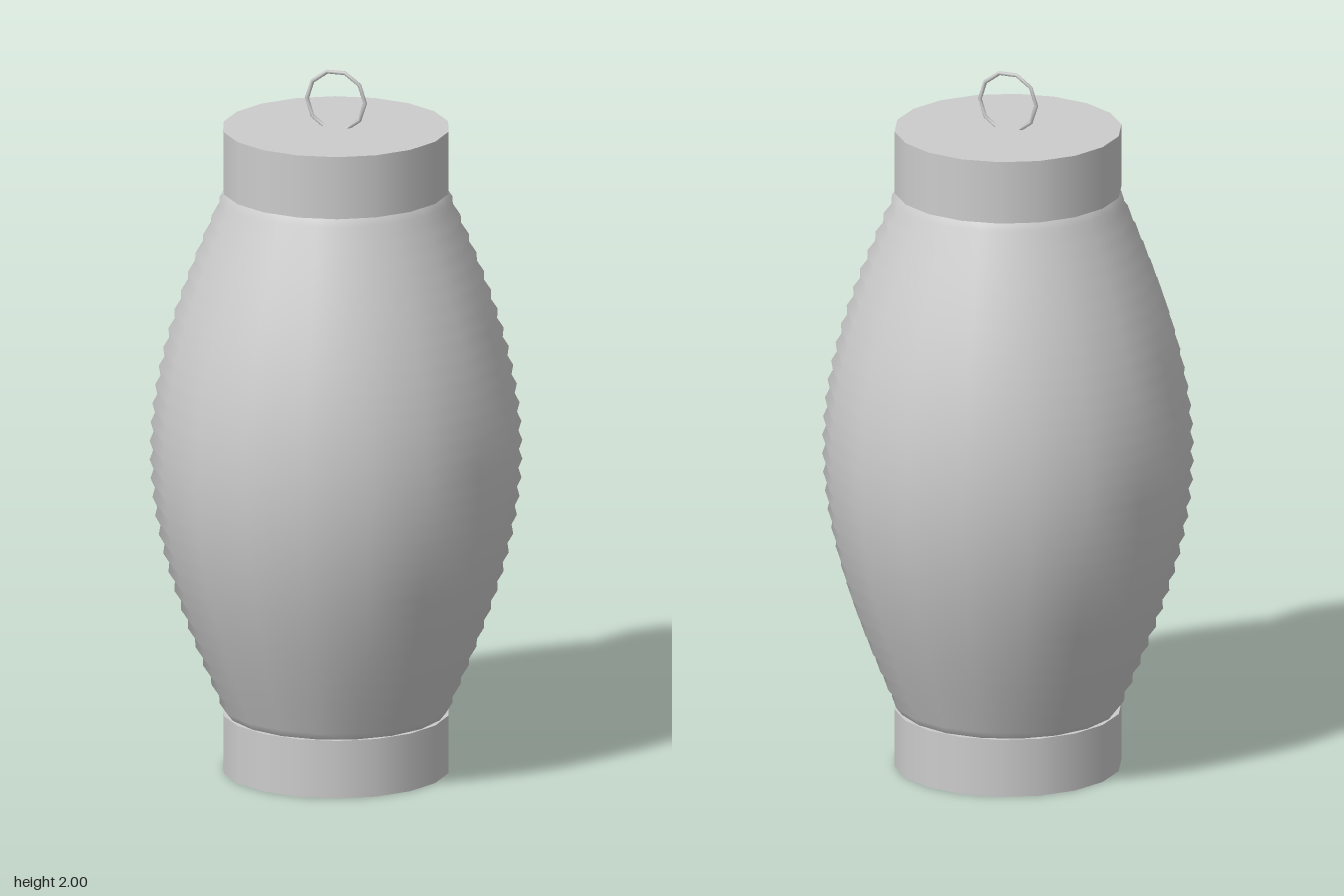
import * as THREE from 'three';

export function createModel() {
  const model = new THREE.Group();
  const paper = new THREE.MeshStandardMaterial({ color: 0xcccccc });
  paper.name = 'paleGrey';
  const SIDES = 18;

  const add = (name, geometry, y) => {
    const mesh = new THREE.Mesh(geometry, paper);
    mesh.name = name;
    mesh.position.y = y;
    model.add(mesh);
    return mesh;
  };

  // Ribbed paper shade: a bulging profile with a small ridge on every rib
  const RIBS = 28, bottom = 0.16, top = 1.665;
  const profile = [];
  for (let i = 0; i <= RIBS * 2; i++) {
    const t = i / (RIBS * 2);
    const bulge = 0.305 + 0.205 * Math.cos((t * 2 - 1) * Math.PI / 2);
    const ridge = i % 2 ? 0.005 : -0.005;
    profile.push(new THREE.Vector2(bulge + ridge, bottom + t * (top - bottom)));
  }
  add('paperShade', new THREE.LatheGeometry(profile, SIDES, Math.PI / 2), 0);

  // Solid end collars
  const collar = (name, y0, y1) =>
    add(name, new THREE.CylinderGeometry(0.315, 0.315, y1 - y0, SIDES), (y0 + y1) / 2);
  collar('bottomCollar', 0, 0.165);
  collar('topCollar', 1.66, 1.838);

  // Wire hanging loop, its lowest edge sunk into the top collar
  add('hangingLoop', new THREE.TorusGeometry(0.085, 0.006, 6, 10), 1.913);

  return model;
}
